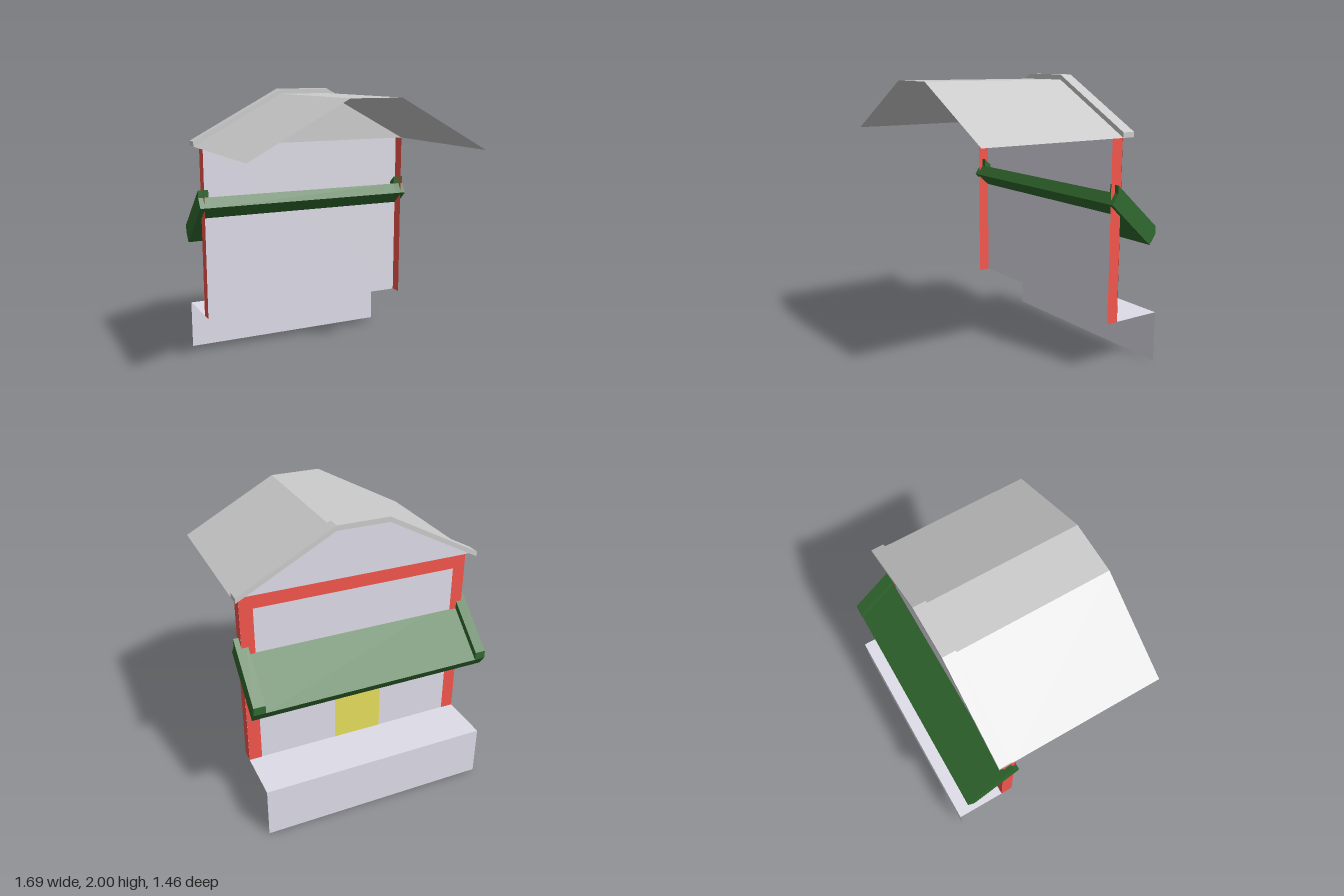
import * as THREE from 'three';

const mat = (color) => new THREE.MeshStandardMaterial({ color, flatShading: true, side: THREE.DoubleSide });
const GREY = mat(0xcccccc), WALL = mat(0xdedce8), RED = mat(0xf4564c), GREEN = mat(0x326a30), YELLOW = mat(0xe6de5c);

// wall extents
const X0 = -0.8, X1 = 0.81, Y0 = 0.36, Y1 = 1.61, ZW = -0.37, ZFRAME = -0.285;

const shapeOf = (pts) => new THREE.Shape(pts.map(([x, y]) => new THREE.Vector2(x, y)));

export function createModel() {
  const group = new THREE.Group();
  const add = (name, geometry, material, parent = group) => {
    const mesh = new THREE.Mesh(geometry, material);
    mesh.name = name;
    parent.add(mesh);
    return mesh;
  };

  // upright flat panel at depth z, facing the back
  const panel = (name, xa, xb, ya, yb, z, material) => {
    const g = new THREE.PlaneGeometry(xb - xa, yb - ya).rotateY(Math.PI);
    return add(name, g.translate((xa + xb) / 2, (ya + yb) / 2, z), material);
  };

  // solid with a (z, y) side profile, running from xa to xb
  const sideExtrude = (name, pts, xa, xb, material, parent) => {
    const g = new THREE.ExtrudeGeometry(shapeOf(pts), { depth: xb - xa, bevelEnabled: false });
    return add(name, g.rotateY(-Math.PI / 2).translate(xb, 0, 0), material, parent);
  };

  // wall and doorway
  panel('wall', X0, X1, Y0, Y1, ZW, WALL);
  panel('door', -0.18, 0.17, Y0, 0.73, ZW - 0.002, YELLOW);

  // red frame: returns at the ends, corner strips and top beam
  const w = 0.09;
  for (const [x, inner] of [[X0, X0 + w], [X1, X1 - w]]) {
    const end = new THREE.PlaneGeometry(ZFRAME - ZW, Y1 - Y0).rotateY(Math.sign(x) * Math.PI / 2);
    add('frameEnd', end.translate(x, (Y0 + Y1) / 2, (ZW + ZFRAME) / 2), RED);
    const xa = Math.min(x, inner), xb = Math.max(x, inner);
    panel('lowerCornerStrip', xa, xb, Y0, 0.92, ZW - 0.002, RED);
    panel('upperCornerStrip', xa, xb, 1.2, Y1 - w, ZW - 0.002, RED);
  }
  panel('topBeam', X0, X1, Y1 - w, Y1, ZW - 0.002, RED);

  // porch step: open ledge and its riser
  const zStep = -0.73;
  const ledge = new THREE.PlaneGeometry(X1 - X0, ZW - zStep).rotateX(-Math.PI / 2);
  add('porchLedge', ledge.translate((X0 + X1) / 2, Y0, (ZW + zStep) / 2), WALL);
  panel('porchRiser', X0, X1, 0, Y0, zStep, WALL);

  // sloping awning with raised end rails
  const awning = new THREE.Group();
  awning.name = 'awning';
  group.add(awning);
  const slab = [[-0.27, 1.18], [-0.615, 0.87], [-0.665, 0.94], [-0.317, 1.25]];
  const rail = [[-0.27, 1.18], [-0.615, 0.87], [-0.665, 0.94], [-0.665, 0.995], [-0.317, 1.305], [-0.317, 1.25]];
  sideExtrude('awningSlab', slab, -0.76, 0.765, GREEN, awning);
  sideExtrude('awningRail', rail, -0.835, -0.76, GREEN, awning);
  sideExtrude('awningRail', rail, 0.765, 0.845, GREEN, awning);

  // roof profile, shared by the sheet, trim and gable
  const roof = [[-0.848, 1.61], [-0.18, 1.965], [0.185, 1.965], [0.845, 1.61]];
  const zBack = -0.345, zFront = 0.725;

  // thin roof sheet
  const pos = [];
  for (let i = 0; i < roof.length - 1; i++) {
    const [xa, ya] = roof[i], [xb, yb] = roof[i + 1];
    pos.push(xa, ya, zBack, xa, ya, zFront, xb, yb, zFront);
    pos.push(xa, ya, zBack, xb, yb, zFront, xb, yb, zBack);
  }
  const sheet = new THREE.BufferGeometry();
  sheet.setAttribute('position', new THREE.Float32BufferAttribute(pos, 3));
  sheet.computeVertexNormals();
  add('roofSheet', sheet, GREY);

  // thick trim along the back edge of the roof
  const upper = roof.map(([x, y]) => [x, y + 0.035]).reverse();
  const trim = new THREE.ExtrudeGeometry(shapeOf([...roof, ...upper]), { depth: 0.09, bevelEnabled: false });
  add('roofTrim', trim.translate(0, 0, zBack - 0.09), GREY);

  // gable: wall colour outside, grey lining inside
  const gable = new THREE.ShapeGeometry(shapeOf(roof));
  add('gable', gable.clone().translate(0, 0, ZW), WALL);
  add('gableLining', gable.translate(0, 0, zBack), GREY);

  return group;
}
